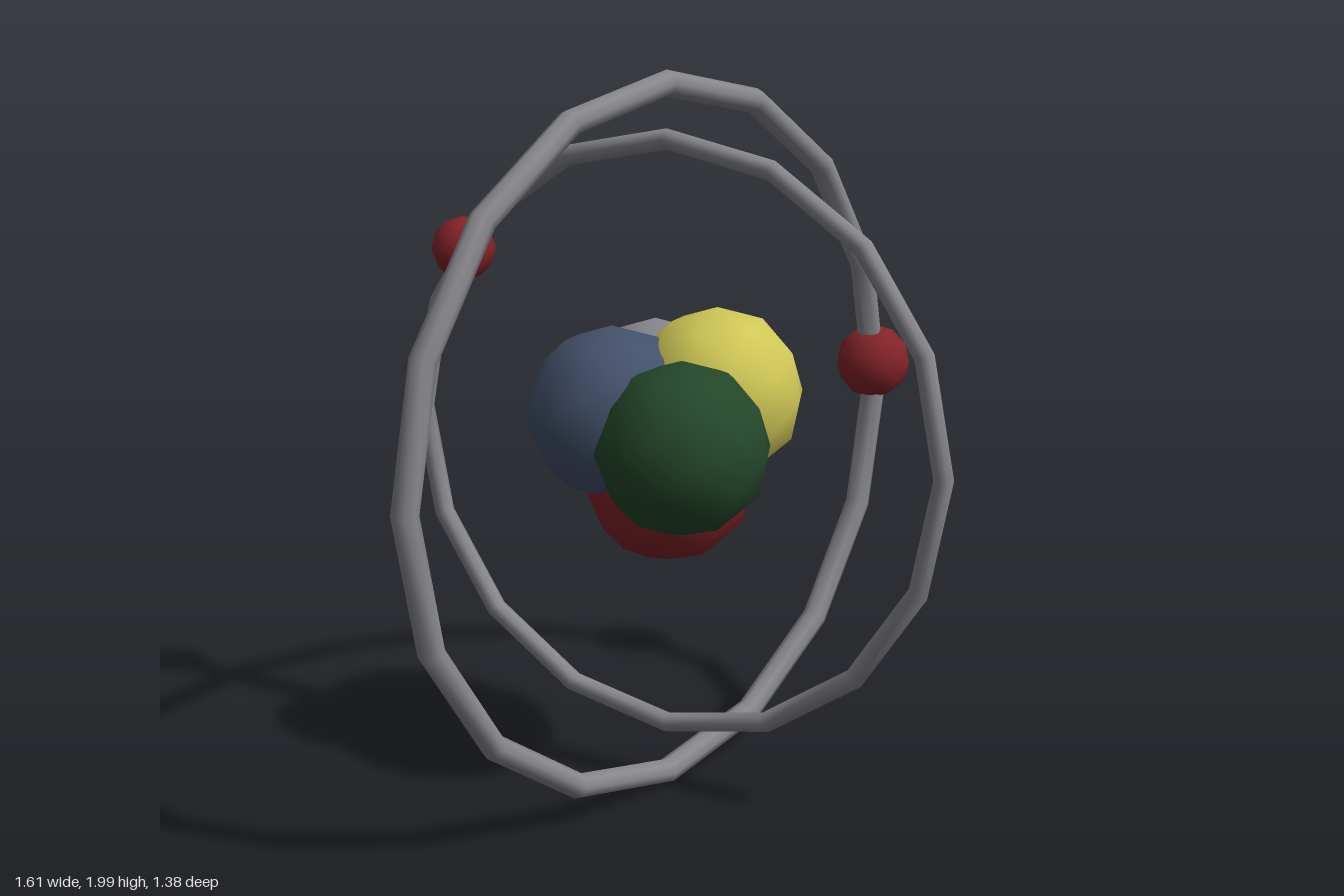
import * as THREE from 'three';

const material = (name, color, flatShading = false) => {
  const m = new THREE.MeshStandardMaterial({ color, flatShading });
  m.name = name;
  return m;
};

export function createModel() {
  const model = new THREE.Group();
  model.name = 'atom';
  const red = material('red', 0x842428);
  const green = material('green', 0x24482a);
  const blue = material('slate blue', 0x44526c);
  const yellow = material('yellow', 0xd0c856);
  const grey = material('grey', 0x88878c);

  const add = (parent, name, geometry, mat, x, y, z) => {
    const mesh = new THREE.Mesh(geometry, mat);
    mesh.name = name;
    mesh.position.set(x, y, z);
    parent.add(mesh);
    return mesh;
  };

  // Nucleus: five overlapping low-poly balls
  const nucleus = new THREE.Group();
  nucleus.name = 'nucleus';
  model.add(nucleus);
  const ball = new THREE.IcosahedronGeometry(0.237, 1);
  [
    ['frontNucleon', green, -0.025, 1.02, 0.212],
    ['rightNucleon', blue, -0.182, 1.08, 0.015],
    ['leftNucleon', yellow, 0.105, 1.12, 0.012],
    ['bottomNucleon', red, -0.027, 0.89, 0.005],
    ['backNucleon', grey, -0.04, 1.065, -0.142],
  ].forEach(([name, mat, x, y, z]) => add(nucleus, name, ball, mat, x, y, z));

  // Two upright orbit rings crossing at 80 degrees
  const orbit = (name, radius, tube, degrees) => {
    const ring = add(model, name, new THREE.TorusGeometry(radius, tube, 8, 16), grey, -0.037, 1.0, 0.038);
    ring.rotation.y = THREE.MathUtils.degToRad(degrees);
  };
  orbit('outerOrbit', 0.958, 0.035, 40);
  orbit('innerOrbit', 0.813, 0.028, -40);

  // Electrons threaded on the rings
  add(model, 'outerElectron', new THREE.IcosahedronGeometry(0.111, 1), red, 0.693, 1.06, -0.578);
  add(model, 'innerElectron', new THREE.IcosahedronGeometry(0.091, 1), red, -0.543, 1.468, -0.393);

  return model;
}
